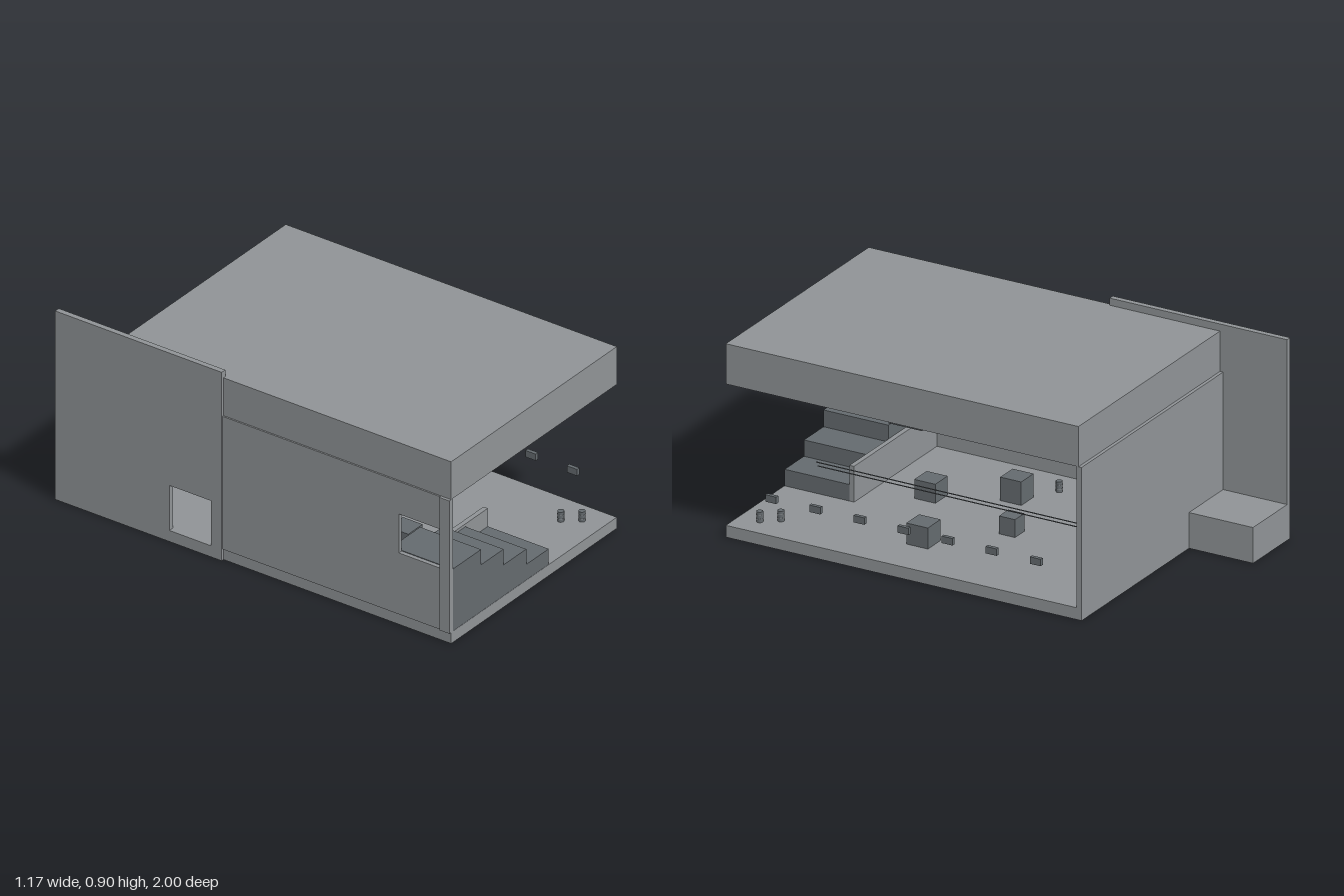
import * as THREE from 'three';

export function createModel() {
  const root = new THREE.Group();
  const concrete = new THREE.MeshStandardMaterial({ color: 0x8f9396 });
  concrete.name = 'light grey concrete';
  const dark = new THREE.MeshStandardMaterial({ color: 0x646a6e });
  dark.name = 'dark grey';

  // Box given by its limits on each axis
  function box(name, mat, [x0, x1], [y0, y1], [z0, z1], parent = root) {
    const m = new THREE.Mesh(new THREE.BoxGeometry(x1 - x0, y1 - y0, z1 - z0), mat);
    m.position.set((x0 + x1) / 2, (y0 + y1) / 2, (z0 + z1) / 2);
    m.name = name;
    parent.add(m);
    return m;
  }

  // Wall across x with one rectangular opening, drawn in z and y
  function sideWall(name, [x0, x1], [y0, y1], [z0, z1], [hy0, hy1], [hz0, hz1]) {
    const s = new THREE.Shape([[-z0, y0], [-z0, y1], [-z1, y1], [-z1, y0]].map(p => new THREE.Vector2(...p)));
    s.holes.push(new THREE.Path([[-hz0, hy0], [-hz1, hy0], [-hz1, hy1], [-hz0, hy1]].map(p => new THREE.Vector2(...p))));
    const g = new THREE.ExtrudeGeometry(s, { depth: x1 - x0, bevelEnabled: false });
    g.rotateY(Math.PI / 2);
    g.translate(x0, 0, 0);
    const m = new THREE.Mesh(g, concrete);
    m.name = name;
    root.add(m);
  }

  // Shell
  const F = 0.053;
  box('floor', concrete, [-0.572, 0.582], [0, F], [-0.68, 1]);
  box('roof', concrete, [-0.572, 0.582], [0.685, 0.865], [-0.68, 1]);
  box('backWall', concrete, [-0.572, 0.582], [0, 0.685], [-0.695, -0.67]);
  box('backLedge', concrete, [-0.56, -0.285], [0, 0.16], [-1, -0.695]);
  sideWall('tallWallWithDoor', [-0.585, -0.56], [0, 0.897], [-1, -0.155], [F, 0.267], [-0.42, -0.21]);
  sideWall('frontWallWithWindow', [-0.579, -0.56], [F, 0.685], [-0.155, 0.955], [0.345, 0.53], [0.74, 0.95]);
  box('frontPost', concrete, [-0.585, -0.56], [F, 0.685], [0.95, 1]);

  // Stepped platforms and the low wall behind them
  const edges = [-0.56, -0.362, -0.205, -0.047, 0.109];
  [0.348, 0.275, 0.2, 0.127].forEach((top, i) =>
    box('step' + (i + 1), dark, [edges[i], edges[i + 1]], [F, top], [0.69, 0.999]));
  box('lowWall', concrete, [-0.56, 0.109], [F, 0.213], [0.668, 0.69]);

  // Crates with a pale strip on the front: centre x, centre z, width, height
  const crates = [
    [0.232, -0.585, 0.135, 0.137],
    [0.32, 0.213, 0.103, 0.094],
    [0.05, -0.048, 0.076, 0.08],
    [-0.26, 0.11, 0.1, 0.105],
    [-0.1, 0.425, 0.1, 0.085],
  ];
  for (const [x, z, w, h] of crates) {
    const g = new THREE.Group();
    g.name = 'crate';
    root.add(g);
    box('crateBody', dark, [x - w / 2, x + w / 2], [F, F + h], [z - w / 2, z + w / 2], g);
    box('crateStrip', concrete, [x - w * 0.28, x + w * 0.28], [F + h * 0.23, F + h * 0.37],
      [z + w / 2, z + w / 2 + 0.002], g);
  }

  // Small drums with raised hoops
  for (const [x, z] of [[0.425, 0.83], [0.477, 0.9], [-0.415, 0]]) {
    const g = new THREE.Group();
    g.name = 'drum';
    g.position.set(x, F, z);
    const body = new THREE.Mesh(new THREE.CylinderGeometry(0.0145, 0.0145, 0.047, 16), dark);
    body.name = 'drumBody';
    body.position.y = 0.0235;
    g.add(body);
    for (const y of [0.015, 0.032]) {
      const hoop = new THREE.Mesh(new THREE.CylinderGeometry(0.0155, 0.0155, 0.002, 16), concrete);
      hoop.name = 'drumHoop';
      hoop.position.y = y;
      g.add(hoop);
    }
    root.add(g);
  }

  // Row of small lamps along the open side
  for (let i = 0; i < 7; i++) {
    const z = 0.79 - i * 0.21;
    box('sideLamp', dark, [0.558, 0.575], [0.197, 0.228], [z - 0.026, z + 0.026]);
  }

  // Two thin pipes above the lamps
  for (const [x, y] of [[0.552, 0.4], [0.562, 0.421]]) {
    const p = new THREE.Mesh(new THREE.CylinderGeometry(0.0025, 0.0025, 1.25, 8), dark);
    p.rotation.x = Math.PI / 2;
    p.position.set(x, y, -0.045);
    p.name = 'pipe';
    root.add(p);
  }

  // Hanging ceiling lights
  for (const [x, z] of [[0.373, 0.265], [-0.258, -0.475]]) {
    box('lightStem', concrete, [x - 0.006, x + 0.006], [0.582, 0.685], [z - 0.002, z + 0.002]);
    box('lightBar', dark, [x - 0.006, x + 0.006], [0.578, 0.582], [z - 0.08, z + 0.08]);
  }

  return root;
}
